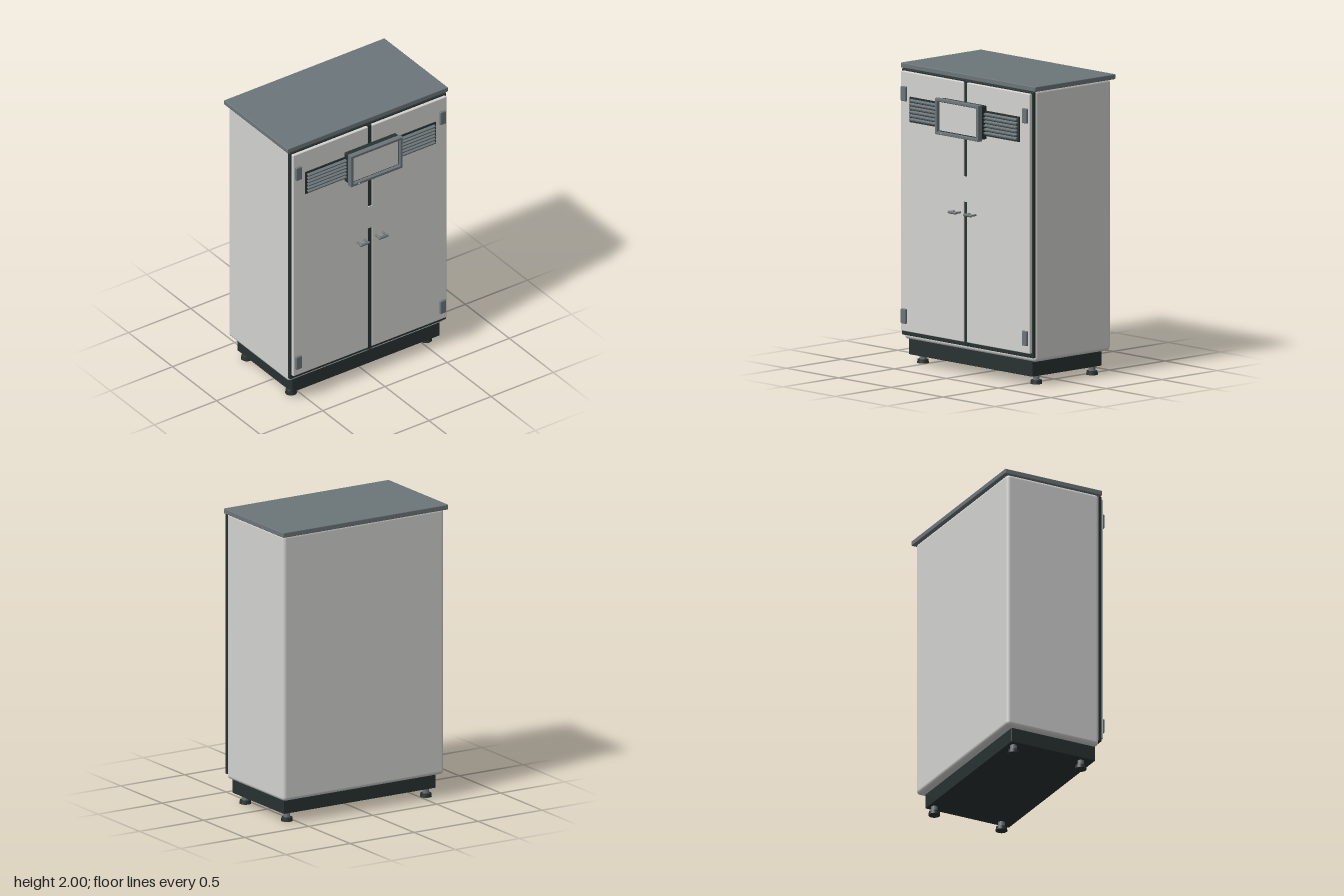
import * as THREE from 'three';
import { RoundedBoxGeometry } from 'three/addons/geometries/RoundedBoxGeometry.js';

export function createModel() {
  const root = new THREE.Group();
  root.name = 'controlCabinet';

  const material = (name, color) => {
    const m = new THREE.MeshStandardMaterial({ color });
    m.name = name;
    return m;
  };
  const light = material('lightGreyPaint', 0xd2d2d1);
  const grey = material('slateGrey', 0x6c7579);
  const dark = material('darkCharcoal', 0x283231);

  const add = (name, geometry, mat, parent = root) => {
    const mesh = new THREE.Mesh(geometry, mat);
    mesh.name = name;
    parent.add(mesh);
    return mesh;
  };
  // Box from its limits on each axis, with optional rounded edges
  const box = (name, mat, [x0, x1], [y0, y1], [z0, z1], r = 0, parent = root) => {
    const size = [x1 - x0, y1 - y0, z1 - z0];
    const geo = r ? new RoundedBoxGeometry(...size, 3, r) : new THREE.BoxGeometry(...size);
    const mesh = add(name, geo, mat, parent);
    mesh.position.set((x0 + x1) / 2, (y0 + y1) / 2, (z0 + z1) / 2);
    return mesh;
  };
  // Same limits mirrored to side s
  const side = (s, a, b) => (s > 0 ? [a, b] : [-b, -a]);

  // Cabinet shell
  box('body', light, [-0.63, 0.63], [0.16, 1.975], [-0.395, 0.295], 0.026);
  box('topSlab', grey, [-0.645, 0.645], [1.966, 2], [-0.418, 0.306], 0.005);
  box('doorSeal', dark, [-0.63, 0.63], [0.19, 1.964], [0.285, 0.31], 0.006);
  box('plinth', dark, [-0.593, 0.593], [0.06, 0.17], [-0.342, 0.283], 0.004);

  // Strip between the doors, with a flush plate covering part of it
  box('centreStrip', dark, [-0.016, 0.016], [0.2, 1.955], [0.305, 0.325]);
  box('centrePlate', light, [-0.02, 0.02], [1.157, 1.325], [0.31, 0.332]);

  for (const s of [-1, 1]) {
    // Doors and hinges
    box('door', light, side(s, 0.014, 0.617), [0.22, 1.952], [0.305, 0.331], 0.006);
    for (const y of [0.322, 1.804]) {
      box('hinge', grey, side(s, 0.557, 0.603), [y - 0.049, y + 0.049], [0.325, 0.347], 0.005);
    }

    // Louvred vent
    const vent = new THREE.Group();
    vent.name = 'vent';
    root.add(vent);
    box('ventBack', dark, side(s, 0.15, 0.525), [1.622, 1.79], [0.328, 0.339], 0, vent);
    for (let i = 0; i < 6; i++) {
      const y = 1.643 + i * 0.0252;
      const slat = box('ventSlat', grey, side(s, 0.15, 0.511),
        [y - 0.006, y + 0.006], [0.335, 0.357], 0.002, vent);
      slat.rotation.x = 0.35;
    }

    // Bow handle
    const path = new THREE.CatmullRomCurve3([
      [0.046, 0.328], [0.046, 0.355], [0.052, 0.374], [0.075, 0.377],
      [0.096, 0.374], [0.102, 0.355], [0.102, 0.328],
    ].map(([x, z]) => new THREE.Vector3(s * x, 1.081, z)));
    add('handle', new THREE.TubeGeometry(path, 32, 0.007, 10), grey);
    const grip = add('handleGrip', new THREE.CapsuleGeometry(0.01, 0.06, 6, 14), grey);
    grip.rotation.z = Math.PI / 2;
    grip.position.set(s * 0.074, 1.081, 0.377);

    // Levelling feet
    for (const z of [-0.302, 0.2]) {
      const stem = add('footStem', new THREE.CylinderGeometry(0.022, 0.022, 0.045, 20), grey);
      stem.position.set(s * 0.543, 0.042, z);
      const pad = add('footPad', new THREE.CylinderGeometry(0.036, 0.039, 0.025, 24), dark);
      pad.position.set(s * 0.543, 0.0125, z);
    }
  }

  // Display: dark housing, raised frame with an opening, recessed screen
  const display = new THREE.Group();
  display.name = 'display';
  root.add(display);
  box('displayHousing', dark, [-0.205, 0.205], [1.6, 1.823], [0.325, 0.386], 0.006, display);
  const rect = (target, w, h) => {
    target.moveTo(-w, -h);
    target.lineTo(w, -h);
    target.lineTo(w, h);
    target.lineTo(-w, h);
    target.closePath();
    return target;
  };
  const outline = rect(new THREE.Shape(), 0.205, 0.117);
  outline.holes.push(rect(new THREE.Path(), 0.192, 0.104));
  const frame = add('displayFrame', new THREE.ExtrudeGeometry(outline, {
    depth: 0.03, bevelEnabled: true, bevelThickness: 0.003, bevelSize: 0.003, bevelSegments: 2,
  }), grey, display);
  frame.position.set(0, 1.711, 0.377);
  box('screen', light, [-0.182, 0.182], [1.617, 1.805], [0.384, 0.391], 0, display);
  box('indicator', light, [-0.149, -0.139], [1.599, 1.604], [0.405, 0.414], 0, display);

  return root;
}
